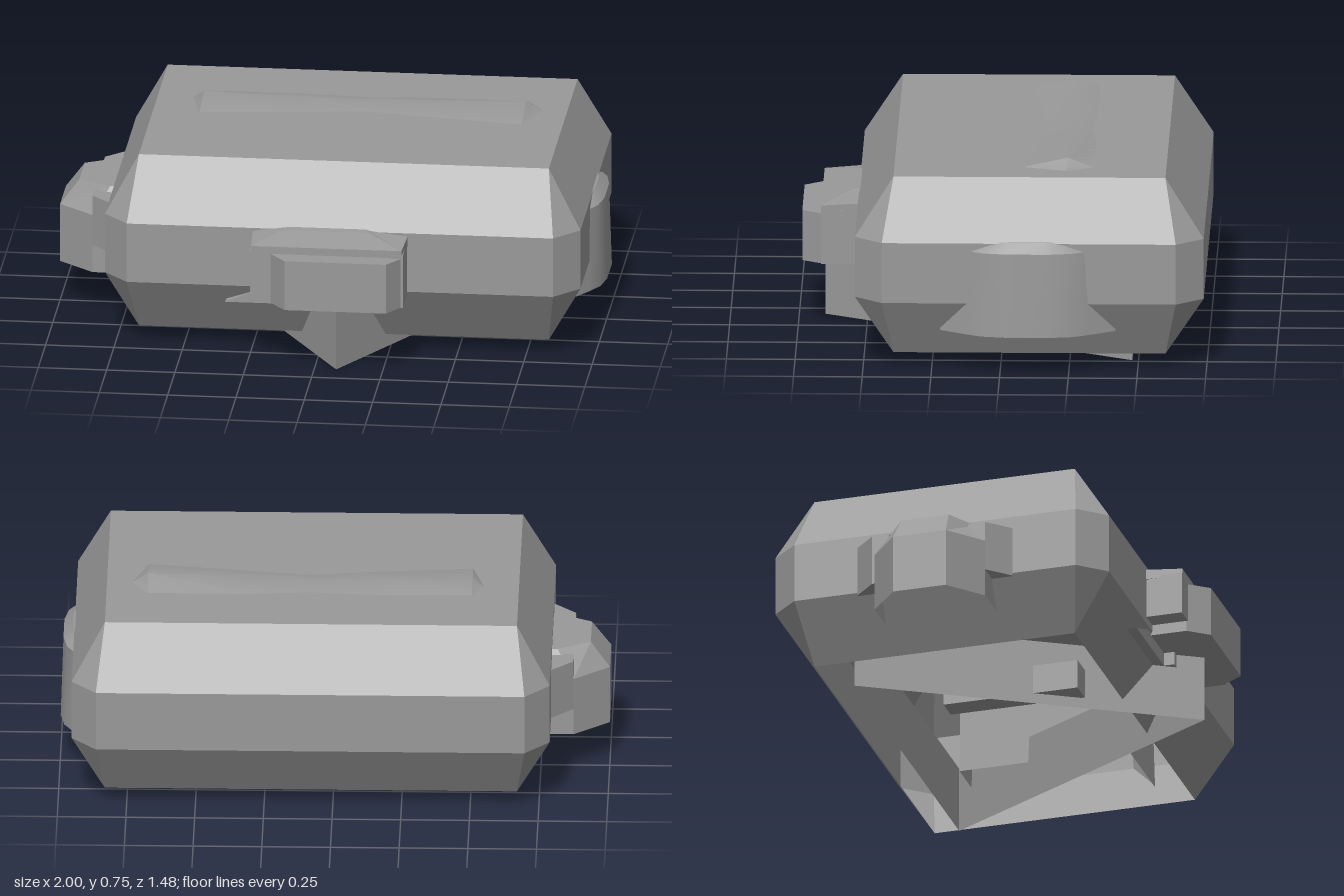
import * as THREE from 'three';
import { toCreasedNormals } from 'three/addons/utils/BufferGeometryUtils.js';

const material = new THREE.MeshStandardMaterial({ color: 0x999999, side: THREE.DoubleSide });

// Joins rings of [x, y, z] points with quads and closes the ends with fans.
function loft(rings, capStart = true, capEnd = true) {
  const pos = [];
  const tri = (a, b, c) => pos.push(...a, ...b, ...c);
  const n = rings[0].length;
  for (let r = 0; r < rings.length - 1; r++) {
    for (let i = 0; i < n; i++) {
      const j = (i + 1) % n;
      const [a, b, c, d] = [rings[r][i], rings[r][j], rings[r + 1][j], rings[r + 1][i]];
      tri(a, b, c);
      tri(a, c, d);
    }
  }
  const first = rings[0], last = rings[rings.length - 1];
  for (let i = 1; i < n - 1; i++) {
    if (capStart) tri(first[0], first[i + 1], first[i]);
    if (capEnd) tri(last[0], last[i], last[i + 1]);
  }
  const g = new THREE.BufferGeometry();
  g.setAttribute('position', new THREE.Float32BufferAttribute(pos, 3));
  g.computeVertexNormals();
  return g;
}

// Horizontal rectangle with cut corners; running front, +x, back, -x.
function cutRect(y, x0, x1, z0, z1, cx, cz) {
  return [[x1 - cx, z1], [x1, z1 - cz], [x1, z0 + cz], [x1 - cx, z0],
    [x0 + cx, z0], [x0, z0 + cz], [x0, z1 - cz], [x0 + cx, z1]].map(([x, z]) => [x, y, z]);
}

// Upright prism from an [x, z] outline.
const prism = (outline, y0, y1) => loft([y0, y1].map((y) => outline.map(([x, z]) => [x, y, z])));

export function createModel() {
  const model = new THREE.Group();
  const add = (name, geometry) => {
    const mesh = new THREE.Mesh(geometry, material);
    mesh.name = name;
    model.add(mesh);
    return mesh;
  };
  const box = (name, x0, x1, y0, y1, z0, z1) =>
    add(name, new THREE.BoxGeometry(x1 - x0, y1 - y0, z1 - z0))
      .position.set((x0 + x1) / 2, (y0 + y1) / 2, (z0 + z1) / 2);

  // Bevelled case, open underneath
  add('caseBody', loft([
    cutRect(0.05, -0.67, 0.83, -0.6, 0.39, 0, 0),
    cutRect(0.265, -0.79, 0.95, -0.74, 0.53, 0.09, 0.1),
    cutRect(0.49, -0.79, 0.95, -0.74, 0.53, 0.09, 0.1),
    cutRect(0.71, -0.67, 0.83, -0.6, 0.39, 0, 0),
  ], false, true));

  // Three-sided base skirt with one corner to the front
  const skirt = new THREE.CylinderGeometry(0.755, 0.755, 0.25, 3, 1, true);
  add('baseSkirt', toCreasedNormals(skirt, 0.1)).position.set(0.08, 0.125, -0.1);

  // Softly pinched ridge on the lid: [x, back z, peak z, front z, peak y]
  const ridge = [[-0.54, -0.26, -0.25, -0.24, 0.712], [-0.5, -0.335, -0.25, -0.09, 0.737],
    [-0.15, -0.34, -0.245, -0.125, 0.731], [0.1, -0.325, -0.24, -0.16, 0.725],
    [0.3, -0.34, -0.24, -0.13, 0.731], [0.68, -0.34, -0.24, -0.075, 0.746], [0.735, -0.25, -0.24, -0.23, 0.712]];
  add('lidRidge', toCreasedNormals(
    loft(ridge.map(([x, b, p, f, y]) => [[x, 0.709, b], [x, y, p], [x, 0.709, f]])), 0.5));

  // Rounded boss on the +x side
  const bossRing = (y, inset, k) => [[0.55, 0.32], [0.89, 0.32], [0.952, 0.225], [0.985, 0.165], [1, 0.08],
    [1, -0.08], [0.985, -0.165], [0.952, -0.225], [0.89, -0.32], [0.55, -0.32]]
    .map(([x, z]) => [x - inset, y, -0.1 + z * k]);
  add('leftBoss', toCreasedNormals(
    loft([bossRing(0.15, 0, 1), bossRing(0.46, 0.01, 0.98), bossRing(0.495, 0.045, 0.75)], false), 0.6));

  // Eight-sided boss on the -x side, with an angled ear on each flank
  add('rightBoss', loft([
    cutRect(0.15, -1, -0.5, -0.31, 0.11, 0.13, 0.11),
    cutRect(0.37, -1, -0.5, -0.31, 0.11, 0.13, 0.11),
    cutRect(0.465, -0.93, -0.55, -0.255, 0.055, 0.12, 0.065),
  ], false));
  const ear = [[-0.87, 0.15], [-0.87, 0.215], [-0.79, 0.295], [-0.7, 0.295], [-0.7, 0.15]];
  add('rightBossEar', prism(ear.map(([x, z]) => [x, z - 0.105]), 0.255, 0.445));
  add('rightBossEar', prism(ear.map(([x, z]) => [x, -0.105 - z]).reverse(), 0.255, 0.445));

  // Clasp frame: sloped top bar and two legs
  add('claspTop', loft([
    [[-0.23, 0.44, 0.665], [0.32, 0.44, 0.665], [0.33, 0.44, 0.5], [-0.24, 0.44, 0.5]],
    [[-0.23, 0.468, 0.665], [0.32, 0.468, 0.665], [0.33, 0.48, 0.5], [-0.24, 0.48, 0.5]],
    [[-0.13, 0.495, 0.555], [0.19, 0.495, 0.555], [0.16, 0.5, 0.5], [-0.08, 0.5, 0.5]],
  ]));
  box('claspLeg', -0.235, -0.16, 0.29, 0.45, 0.5, 0.665);
  box('claspLeg', 0.27, 0.325, 0.25, 0.45, 0.5, 0.665);

  // Clasp latch with tapered front corners
  add('claspLatch', prism([[-0.1, 0.735], [0.27, 0.735], [0.32, 0.66], [0.32, 0.5], [-0.16, 0.5], [-0.16, 0.66]], 0.25, 0.438));

  // Flap and small catch beneath the clasp
  add('claspFlap', loft([
    [[-0.34, 0.2, 0.525], [0, 0.2, 0.525], [0, 0.2, 0.4], [-0.34, 0.2, 0.4]],
    [[-0.19, 0.26, 0.525], [0, 0.26, 0.525], [0, 0.26, 0.4], [-0.19, 0.26, 0.4]],
  ]));
  box('claspCatch', 0, 0.03, 0.2, 0.26, 0.4, 0.565);

  // Inner rib, just showing below the case
  box('innerRib', -0.24, -0.15, 0.04, 0.15, -0.24, 0.27);

  return model;
}
